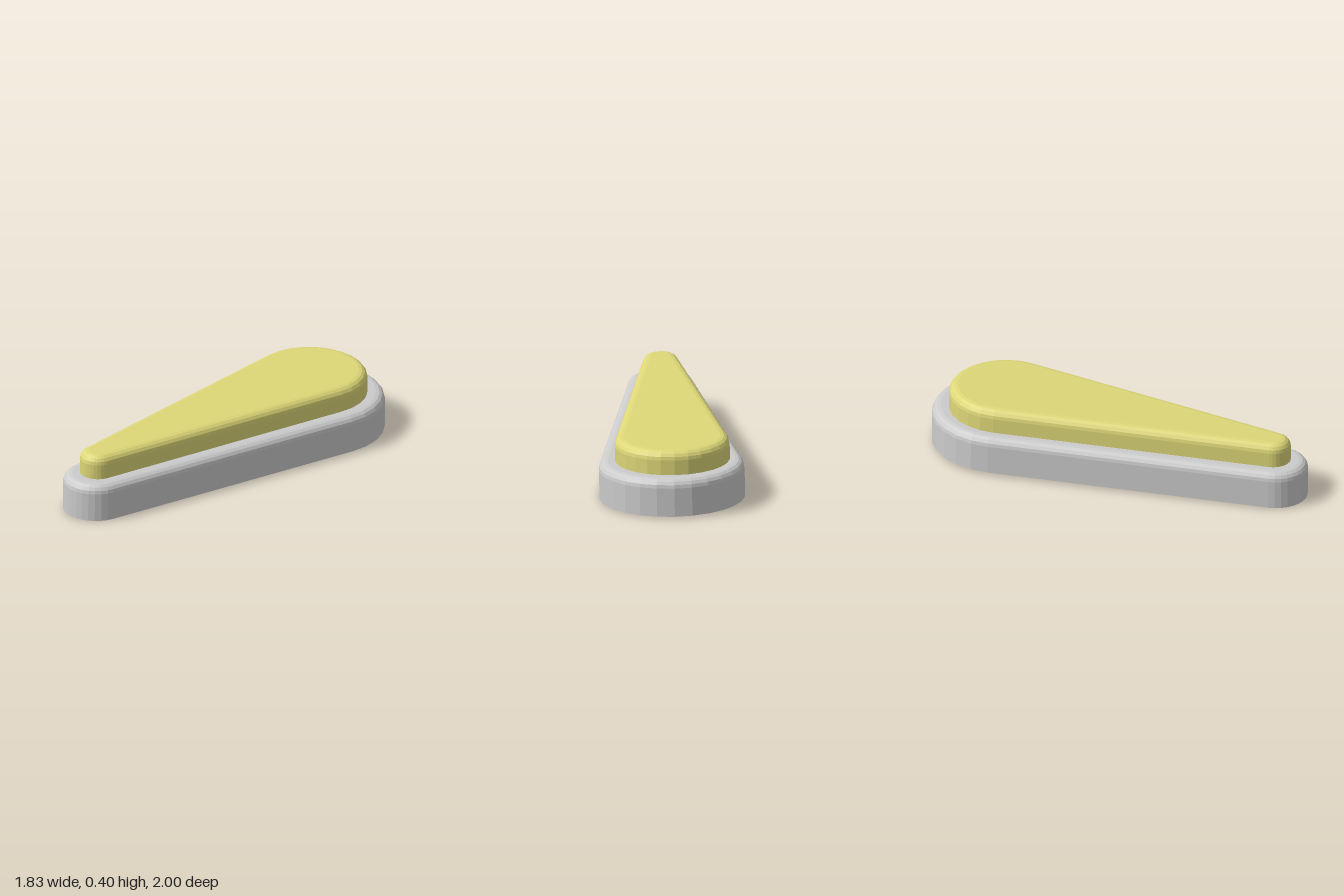
import * as THREE from 'three';

const ARC = 14;

// Teardrop outline: the hull of a big and a small circle, shrunk by inset
function outline(big, small, inset) {
  const dx = big.x - small.x, dz = big.z - small.z;
  const axis = Math.atan2(dz, dx);
  const half = Math.PI / 2 + Math.asin((big.r - small.r) / Math.hypot(dx, dz));
  const points = [];
  const arc = (c, from, to) => {
    for (let i = 0; i <= ARC; i++) {
      const t = from + (to - from) * i / ARC;
      points.push([c.x + (c.r - inset) * Math.cos(t), c.z + (c.r - inset) * Math.sin(t)]);
    }
  };
  arc(big, axis - half, axis + half);
  arc(small, axis + half, axis + 2 * Math.PI - half);
  return points;
}

// Solid teardrop slab with a rounded upper edge
function slab(name, color, big, small, bottom, top, round) {
  const profile = [[0, bottom]];
  for (let i = 0; i <= 4; i++) {
    const t = i / 4 * Math.PI / 2;
    profile.push([round * (1 - Math.cos(t)), top - round * (1 - Math.sin(t))]);
  }
  const positions = [], index = [];
  for (const [inset, y] of profile) {
    for (const [x, z] of outline(big, small, inset)) positions.push(x, y, z);
  }
  const n = 2 * (ARC + 1), last = (profile.length - 1) * n;
  for (let k = 0; k < last; k += n) {
    for (let i = 0; i < n; i++) {
      const a = k + i, b = k + (i + 1) % n;
      index.push(a, a + n, b, b, a + n, b + n);
    }
  }
  // flat caps
  for (let i = 1; i < n - 1; i++) {
    index.push(0, i, i + 1, last, last + i + 1, last + i);
  }
  let geometry = new THREE.BufferGeometry();
  geometry.setAttribute('position', new THREE.Float32BufferAttribute(positions, 3));
  geometry.setIndex(index);
  geometry = geometry.toNonIndexed();
  geometry.computeVertexNormals();
  const mesh = new THREE.Mesh(geometry, new THREE.MeshStandardMaterial({ color, flatShading: true }));
  mesh.name = name;
  return mesh;
}

export function createModel() {
  const model = new THREE.Group();
  model.name = 'teardropButton';

  // Base plate and the raised pad on top of it
  model.add(slab('base', 0xcccccc,
    { x: 0.46, z: -0.55, r: 0.45 }, { x: -0.72, z: 0.8, r: 0.2 }, 0, 0.235, 0.055));
  model.add(slab('pad', 0xddd777,
    { x: 0.447, z: -0.545, r: 0.355 }, { x: -0.71, z: 0.785, r: 0.11 }, 0.2, 0.383, 0.055));

  // Slight lean towards the long right-hand edge
  const up = new THREE.Vector3(0, 1, 0);
  const lean = new THREE.Vector3(0.0124, 1, 0.0144).normalize();
  model.quaternion.setFromUnitVectors(up, lean);
  model.position.y = 0.0065;
  return model;
}
